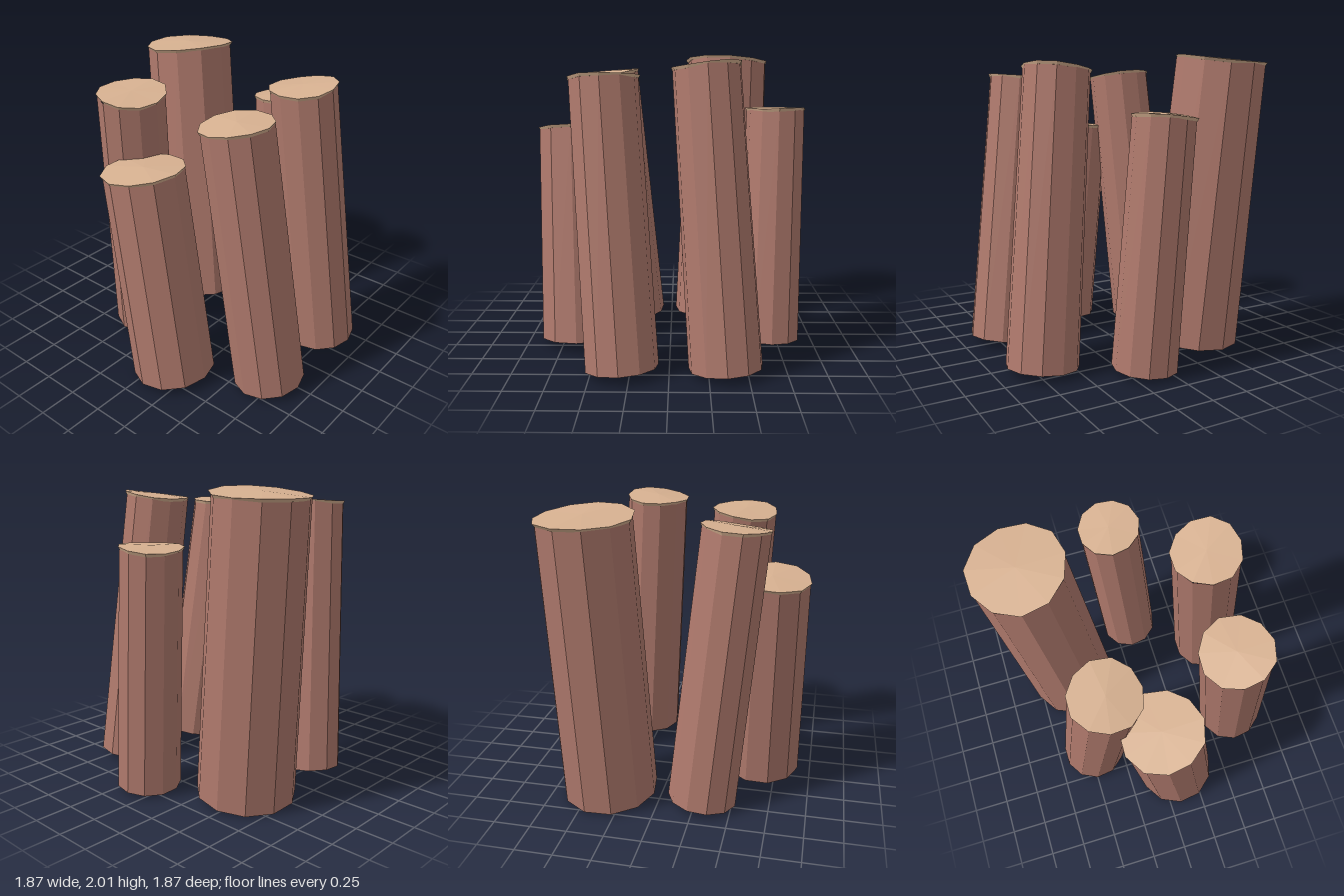
import * as THREE from 'three';

const SIDES = 11;

// Thin cut end: a disc with a slightly domed middle and an uneven rim
function cutEnd(radius, seed) {
  const geo = new THREE.CylinderGeometry(radius, radius * 0.96, 0.02, SIDES, 1);
  const p = geo.attributes.position;
  for (let i = 0; i < p.count; i++) {
    const x = p.getX(i), z = p.getZ(i);
    const rim = Math.hypot(x, z) > radius * 0.5;
    const a = Math.atan2(z, x);
    if (rim) {
      const grow = 1 + 0.02 * Math.sin(3 * a + seed);
      p.setXYZ(i, x * grow, p.getY(i) + 0.008 * Math.sin(2 * a + seed * 2), z * grow);
    } else if (p.getY(i) > 0) {
      p.setY(i, p.getY(i) + 0.012);
    }
  }
  const flat = geo.toNonIndexed();
  flat.computeVertexNormals();
  return flat;
}

export function createModel() {
  const mat = (name, color) => {
    const m = new THREE.MeshStandardMaterial({ color, flatShading: true });
    m.name = name;
    return m;
  };
  const bark = mat('bark', 0xb07a6d);
  const cutWood = mat('cutWood', 0xd6b090);
  const underside = mat('underside', 0xa8958a);

  // bottom centre, top centre, bottom radius, top radius
  const posts = [
    ['frontLeftPost', [0.36, 0.03, 0.69], [0.23, 1.915, 0.505], 0.24, 0.222],
    ['frontRightPost', [-0.305, 0.03, 0.695], [-0.42, 1.845, 0.48], 0.24, 0.228],
    ['leftPost', [0.695, 0.03, 0.125], [0.725, 1.625, 0.015], 0.215, 0.205],
    ['backLeftPost', [0.36, 0.035, -0.46], [0.425, 1.965, -0.63], 0.33, 0.308],
    ['backRightPost', [-0.295, 0.03, -0.465], [-0.465, 1.875, -0.338], 0.235, 0.224],
    ['rightPost', [-0.635, 0.035, 0.12], [-0.67, 1.495, -0.05], 0.28, 0.265],
  ];

  const model = new THREE.Group();
  model.name = 'postCluster';
  const up = new THREE.Vector3(0, 1, 0);

  posts.forEach(([name, from, to, r0, r1], i) => {
    const a = new THREE.Vector3(...from);
    const axis = new THREE.Vector3(...to).sub(a);
    const length = axis.length();

    // Leaning post, standing on its own base
    const post = new THREE.Group();
    post.name = name;
    post.position.copy(a);
    post.quaternion.setFromUnitVectors(up, axis.normalize());

    const trunk = new THREE.Mesh(
      new THREE.CylinderGeometry(r1 * 0.98, r0, length, SIDES, 1, true), bark);
    trunk.name = 'trunk';
    trunk.position.y = length / 2;

    const top = new THREE.Mesh(cutEnd(r1 * 1.02, i * 1.7), cutWood);
    top.name = 'cutTop';
    top.position.y = length;

    const base = new THREE.Mesh(new THREE.CircleGeometry(r0, SIDES), underside);
    base.name = 'base';
    base.rotation.set(Math.PI / 2, 0, Math.PI / 2);
    base.geometry.rotateZ(0);

    post.add(trunk, top, base);
    model.add(post);
  });

  return model;
}
